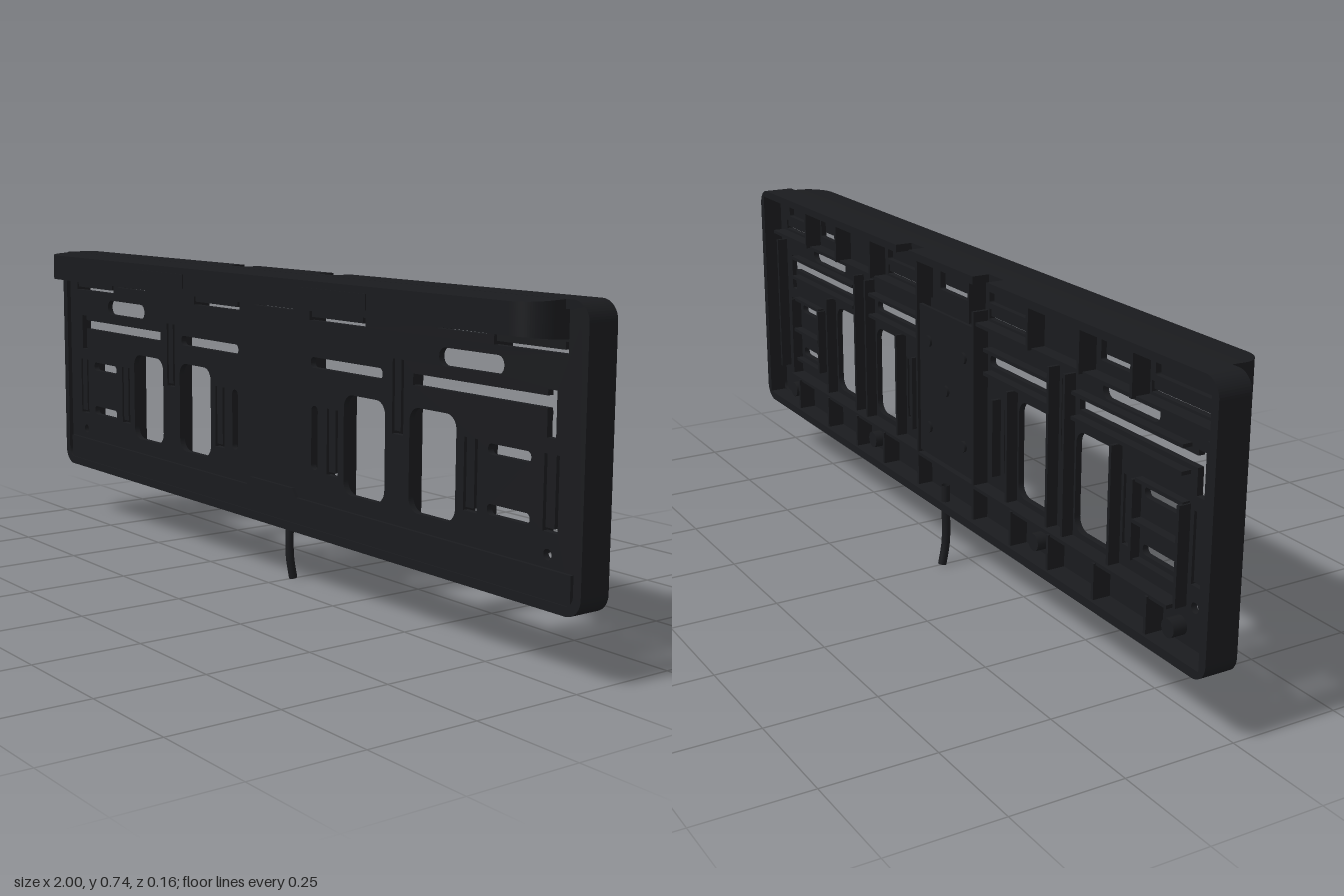
import * as THREE from 'three';

const black = new THREE.MeshStandardMaterial({ color: 0x1a1b1e, side: THREE.DoubleSide });

// Rounded rectangle as a Shape or a hole Path
function rounded(x0, y0, x1, y1, r, Type = THREE.Path) {
  const p = new Type();
  const h = Math.PI / 2;
  p.moveTo(x0 + r, y0);
  p.lineTo(x1 - r, y0).absarc(x1 - r, y0 + r, r, -h, 0);
  p.lineTo(x1, y1 - r).absarc(x1 - r, y1 - r, r, 0, h);
  p.lineTo(x0 + r, y1).absarc(x0 + r, y1 - r, r, h, 2 * h);
  p.lineTo(x0, y0 + r).absarc(x0 + r, y0 + r, r, 2 * h, 3 * h);
  return p;
}

function polygon(points, Type = THREE.Path) {
  return new Type(points.map(([x, y]) => new THREE.Vector2(x, y)));
}

// Thin U-shaped cut that leaves a spring tab hanging from the top
function tabCut(x0, y0, x1, y1, t = 0.008) {
  return polygon([[x0, y0], [x1, y0], [x1, y1], [x1 - t, y1], [x1 - t, y0 + t],
    [x0 + t, y0 + t], [x0 + t, y1], [x0, y1]]);
}

function slab(shape, z0, z1) {
  const g = new THREE.ExtrudeGeometry(shape, { depth: z1 - z0, bevelEnabled: false, curveSegments: 6 });
  return g.translate(0, 0, z0);
}

export function createModel() {
  const model = new THREE.Group();
  const add = (name, geometry, parent = model) => {
    const mesh = new THREE.Mesh(geometry, black);
    mesh.name = name;
    parent.add(mesh);
    return mesh;
  };
  const block = (name, x0, y0, z0, x1, y1, z1, parent) =>
    add(name, new THREE.BoxGeometry(x1 - x0, y1 - y0, z1 - z0)
      .translate((x0 + x1) / 2, (y0 + y1) / 2, (z0 + z1) / 2), parent);
  const group = (name) => {
    const g = new THREE.Group();
    g.name = name;
    model.add(g);
    return g;
  };

  // Perforated panel; each list is given for +x and mirrored
  const panel = rounded(-0.99, 0.15, 0.99, 0.725, 0.035, THREE.Shape);
  const slots = [ // x0, y0, x1, y1, radius
    [0.267, 0.257, 0.41, 0.48, 0.03], [0.49, 0.257, 0.636, 0.48, 0.03],
    [0.58, 0.575, 0.77, 0.613, 0.018], [0.145, 0.526, 0.4, 0.55, 0.011],
    [0.73, 0.415, 0.85, 0.437, 0.01], [0.73, 0.294, 0.85, 0.316, 0.01],
    [0.148, 0.294, 0.172, 0.44, 0.011], [0.889, 0.235, 0.911, 0.257, 0.0109],
    [0.57, 0.65, 0.72, 0.712, 0.004], [0.14, 0.668, 0.34, 0.712, 0.004],
    [0.75, 0.668, 0.92, 0.712, 0.004],
  ];
  const tabs = [
    [0.433, 0.415, 0.47, 0.575], [0.206, 0.29, 0.246, 0.44],
    [0.66, 0.29, 0.7, 0.44], [0.885, 0.29, 0.925, 0.44],
    [0.14, 0.632, 0.34, 0.655], [0.74, 0.632, 0.94, 0.655],
  ];
  for (const s of [1, -1]) {
    const span = (a, b) => (s > 0 ? [a, b] : [-b, -a]);
    for (const [a, y0, b, y1, r] of slots) {
      const [x0, x1] = span(a, b);
      panel.holes.push(rounded(x0, y0, x1, y1, r));
    }
    for (const [a, y0, b, y1] of tabs) {
      const [x0, x1] = span(a, b);
      panel.holes.push(tabCut(x0, y0, x1, y1));
    }
    panel.holes.push(polygon([[0.5, 0.526], [0.89, 0.526], [0.89, 0.47], [0.914, 0.47],
      [0.914, 0.562], [0.89, 0.562], [0.89, 0.55], [0.5, 0.55]].map(([x, y]) => [s * x, y])));
  }
  panel.holes.push(rounded(-0.08, 0.65, 0.08, 0.712, 0.004));
  add('panel', slab(panel, -0.028, -0.014));

  // Outer rim: closed ring in front, notched along the top at the back
  const ring = rounded(-1, 0.14, 1, 0.735, 0.04, THREE.Shape);
  ring.holes.push(rounded(-0.98, 0.16, 0.98, 0.717, 0.022));
  add('frontRim', slab(ring, -0.035, -0.003));
  const back = new THREE.Shape();
  const h = Math.PI / 2;
  back.moveTo(-0.21, 0.735);
  back.lineTo(-0.96, 0.735).absarc(-0.96, 0.695, 0.04, h, 2 * h);
  back.lineTo(-1, 0.18).absarc(-0.96, 0.18, 0.04, 2 * h, 3 * h);
  back.lineTo(0.96, 0.14).absarc(0.96, 0.18, 0.04, -h, 0);
  back.lineTo(1, 0.695).absarc(0.96, 0.695, 0.04, 0, h);
  back.lineTo(0.205, 0.735).lineTo(0.205, 0.717).lineTo(0.98, 0.717).lineTo(0.98, 0.16);
  back.lineTo(-0.98, 0.16).lineTo(-0.98, 0.717).lineTo(-0.21, 0.717);
  add('backRim', slab(back, -0.077, -0.035));
  block('backRimCentre', -0.15, 0.717, -0.077, 0.145, 0.735, -0.035);

  // Hollow hood along the top, its height tapering slightly forward
  const hood = group('hood');
  const outline = (inset) => {
    const x = 0.94 - inset, z = 0.081 - inset, r = 0.06 - inset;
    const s = new THREE.Shape();
    s.moveTo(-x, -0.015).lineTo(x, -0.015);
    s.lineTo(x, z - r).absarc(x - r, z - r, r, 0, h);
    s.lineTo(-x + r, z).absarc(-x + r, z - r, r, h, 2 * h);
    return s;
  };
  const layer = (name, shape, y0, y1) => {
    const g = new THREE.ExtrudeGeometry(shape, { depth: y1 - y0, bevelEnabled: false, curveSegments: 10 });
    g.rotateX(h).translate(0, y1, 0);
    const p = g.attributes.position;
    for (let i = 0; i < p.count; i++) {
      const t = Math.max(p.getZ(i), 0) / 0.081;
      p.setY(i, p.getY(i) + (p.getY(i) < 0.69 ? 0.007 : -0.004) * t);
    }
    g.computeVertexNormals();
    add(name, g, hood);
  };
  const wall = outline(0);
  wall.holes.push(outline(0.012));
  wall.holes[0].curves.forEach((c) => { // leave the back of the wall open
    for (const v of [c.v1, c.v2]) if (v && v.y === -0.015) v.y = -0.0149;
  });
  const floor = outline(0.001);
  for (const x of [-0.645, 0, 0.645]) floor.holes.push(rounded(x - 0.075, -0.012, x + 0.075, 0.05, 0.004));
  layer('hoodTop', outline(0), 0.723, 0.735);
  layer('hoodWall', wall, 0.661, 0.734);
  layer('hoodFloor', floor, 0.66, 0.669);
  for (const s of [1, -1]) {
    block('hoodInsert', s * 0.35 - 0.11, 0.682, 0.07, s * 0.35 + 0.11, 0.716, 0.083, hood);
  }

  // Bottom flap with its raised middle
  const flap = polygon([[-0.97, 0.155], [0.97, 0.155], [0.97, 0.22], [0.1, 0.22], [0.085, 0.24],
    [-0.085, 0.24], [-0.1, 0.22], [-0.97, 0.22]], THREE.Shape);
  add('bottomFlap', slab(flap, -0.02, -0.006));

  // Stiffening ribs behind the panel, mirrored
  const ribs = group('ribs');
  const t = 0.004;
  const flat = [ // y, x0, x1, back z
    [0.24, 0, 0.86, -0.065], [0.622, 0.13, 0.96, -0.06], [0.566, 0.15, 0.41, -0.05],
    [0.512, 0.15, 0.41, -0.05], [0.566, 0.5, 0.87, -0.05], [0.512, 0.5, 0.87, -0.05],
    [0.365, 0.72, 0.87, -0.05], [0.45, 0.72, 0.87, -0.045], [0.28, 0.72, 0.87, -0.045],
  ];
  const upright = [ // x, y0, y1, back z
    [0.13, 0.16, 0.65, -0.065], [0.187, 0.28, 0.46, -0.05], [0.257, 0.24, 0.5, -0.055],
    [0.42, 0.24, 0.6, -0.055], [0.48, 0.24, 0.6, -0.055], [0.648, 0.24, 0.5, -0.055],
    [0.715, 0.28, 0.45, -0.05], [0.87, 0.24, 0.45, -0.055], [0.95, 0.24, 0.6, -0.055],
    [0.3, 0.16, 0.24, -0.07], [0.45, 0.16, 0.24, -0.07], [0.62, 0.16, 0.24, -0.07],
    [0.8, 0.16, 0.24, -0.07], [0.12, 0.622, 0.72, -0.07], [0.36, 0.622, 0.72, -0.07],
    [0.55, 0.622, 0.72, -0.07], [0.73, 0.622, 0.72, -0.07],
  ];
  for (const s of [1, -1]) {
    for (const [y, a, b, z] of flat) {
      block('rib', Math.min(s * a, s * b), y - t, z, Math.max(s * a, s * b), y + t, -0.02, ribs);
    }
    for (const [x, y0, y1, z] of upright) block('rib', s * x - t, y0, z, s * x + t, y1, -0.02, ribs);
  }

  // Rear cover of the middle compartment with its screws, and screw bosses below
  block('rearCover', -0.126, 0.25, -0.058, 0.126, 0.61, -0.05);
  const boss = (name, x, y, r, z0, z1) => add(name,
    new THREE.CylinderGeometry(r, r, z1 - z0, 16).rotateX(h).translate(x, y, (z0 + z1) / 2));
  for (const [x, y] of [[-0.08, 0.32], [0.08, 0.32], [-0.08, 0.53], [0.08, 0.53], [0, 0.43]]) {
    boss('coverScrew', x, y, 0.013, -0.064, -0.05);
  }
  for (const s of [1, -1]) {
    for (const x of [0.38, 0.86]) boss('screwBoss', s * x, 0.195, 0.02, -0.06, -0.02);
  }

  // Cable leaving through the bottom edge
  const path = new THREE.CatmullRomCurve3([[0.2, -0.062], [0.14, -0.062], [0.09, -0.061],
    [0.05, -0.063], [0.001, -0.072]].map(([y, z]) => new THREE.Vector3(0, y, z)));
  add('cable', new THREE.TubeGeometry(path, 20, 0.01, 12));
  const end = new THREE.CircleGeometry(0.01, 12).rotateX(h + 0.18).translate(0, 0.001, -0.072);
  add('cableEnd', end);

  return model;
}
